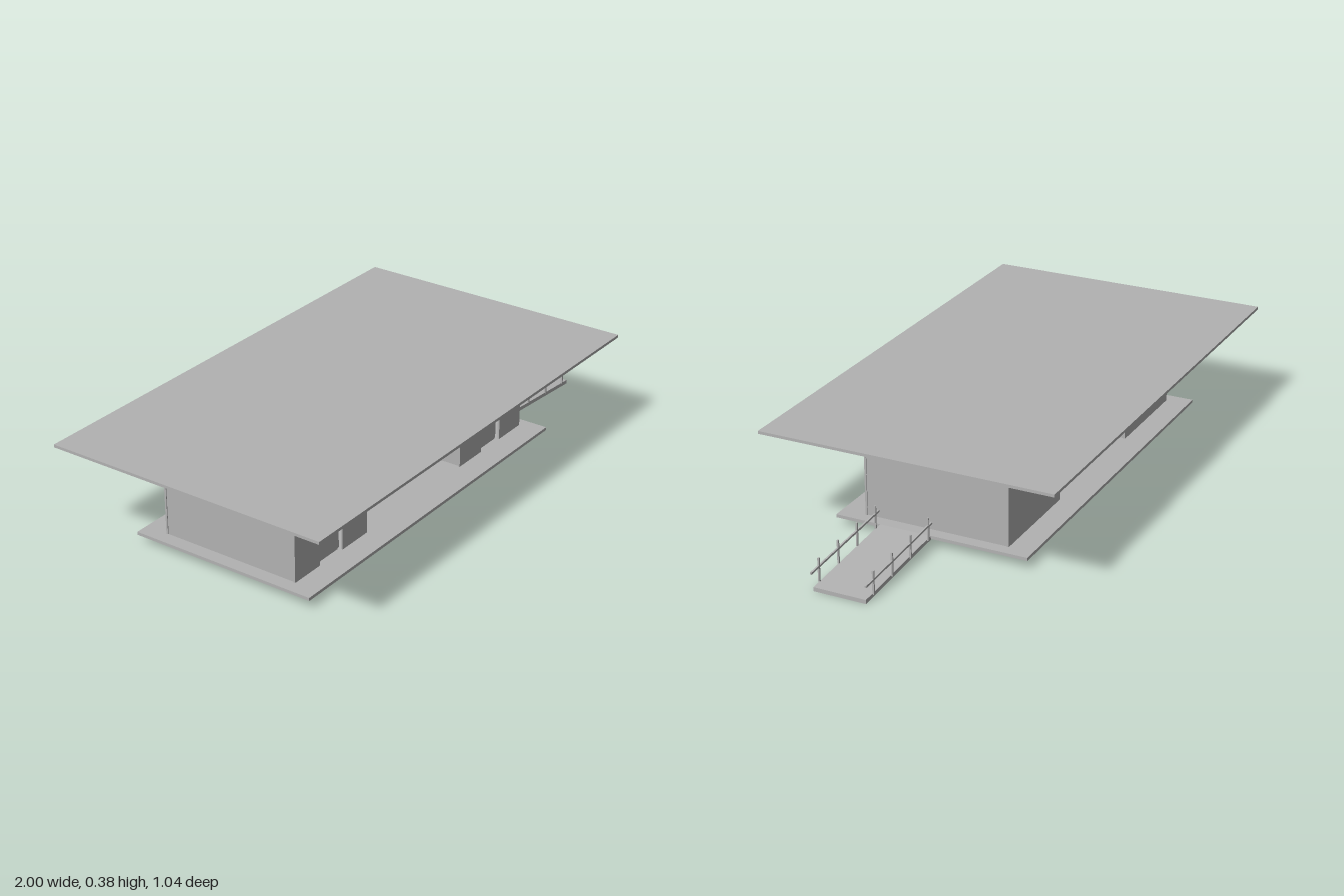
import * as THREE from 'three';

export function createModel() {
  const model = new THREE.Group();
  const grey = new THREE.MeshStandardMaterial({ color: 0xb2b2b2 });
  grey.name = 'pale grey';

  const add = (name, geometry, parent = model) => {
    const mesh = new THREE.Mesh(geometry, grey);
    mesh.name = name;
    parent.add(mesh);
    return mesh;
  };
  // Box given by its lower and upper limits on each axis
  const box = (name, [x0, x1], [y0, y1], [z0, z1], parent) => {
    const mesh = add(name, new THREE.BoxGeometry(x1 - x0, y1 - y0, z1 - z0), parent);
    mesh.position.set((x0 + x1) / 2, (y0 + y1) / 2, (z0 + z1) / 2);
    return mesh;
  };
  const group = (name) => {
    const g = new THREE.Group();
    g.name = name;
    model.add(g);
    return g;
  };

  const floorY = 0.042, wallTop = 0.349, roofY = 0.371;

  // Floor slab and flat roof
  box('platform', [-0.83, 0.57], [0.031, floorY], [-0.345, 0.352]);
  box('roof', [-1, 0.75], [roofY, 0.381], [-0.522, 0.522]);

  // Roof beams: two long ones and six across
  const beams = group('roofBeams');
  box('frontBeam', [-0.89, 0.63], [wallTop, roofY], [0.373, 0.393], beams);
  box('backBeam', [-0.89, 0.63], [wallTop, roofY], [-0.419, -0.399], beams);
  for (let i = 0; i < 6; i++) {
    const x = -0.777 + i * 0.26;
    box('crossBeam', [x - 0.011, x + 0.011], [wallTop, roofY], [-0.399, 0.373], beams);
  }

  // Rooms: side walls set between front and back walls, with a recessed doorway
  const room = (name, x0, x1, d0, d1) => {
    const g = group(name);
    const y = [floorY, wallTop], front = [0.257, 0.264];
    box('backWall', [x0, x1], y, [-0.26, -0.253], g);
    box('sideWall', [x0 + 0.003, x0 + 0.01], y, [-0.253, 0.257], g);
    box('sideWall', [x1 - 0.01, x1 - 0.003], y, [-0.253, 0.257], g);
    box('frontWall', [x0, d0], y, front, g);
    box('frontWall', [d1, x1], y, front, g);
    box('doorSurround', [d0 - 0.005, d1 + 0.005], y, [0.239, 0.245], g);
    return g;
  };
  const leftRoom = room('westRoom', -0.785, -0.4, -0.655, -0.535);
  box('door', [-0.647, -0.543], [floorY, 0.29], [0.245, 0.249], leftRoom);
  const rightRoom = room('eastRoom', 0.145, 0.53, 0.28, 0.396);
  box('doorLeaf', [0.281, 0.335], [floorY, 0.3], [0.245, 0.249], rightRoom);
  box('doorLeaf', [0.335, 0.39], [floorY, 0.29], [0.245, 0.249], rightRoom);

  // Tables with thin legs and two small fittings each
  const table = (x0, x1, legs, fittings) => {
    const g = group('table');
    box('tableTop', [x0, x1], [0.127, 0.135], [-0.07, 0.1], g);
    for (const x of legs) for (const z of [-0.055, 0.085]) {
      box('tableLeg', [x - 0.004, x + 0.004], [floorY, 0.127], [z - 0.004, z + 0.004], g);
    }
    for (const x of fittings) {
      add('fittingBase', new THREE.CylinderGeometry(0.016, 0.021, 0.006, 16), g).position.set(x, 0.138, 0.015);
      add('fittingStem', new THREE.CylinderGeometry(0.003, 0.003, 0.016, 8), g).position.set(x, 0.149, 0.015);
    }
  };
  table(-0.397, -0.21, [-0.38, -0.227], [-0.353, -0.252]);
  table(-0.042, 0.145, [-0.008, 0.127], [-0.008, 0.097]);

  // Sloping ramp
  const side = new THREE.Shape([[0.57, 0.042], [0.57, 0.028], [0.99, 0], [0.99, 0.014]]
    .map(([x, y]) => new THREE.Vector2(x, y)));
  add('ramp', new THREE.ExtrudeGeometry(side, { depth: 0.187, bevelEnabled: false }));

  // Handrails either side, with posts following the slope
  for (const z of [-0.006, 0.188]) {
    const g = group('handrail');
    const a = new THREE.Vector3(0.575, 0.093, z), b = new THREE.Vector3(1, 0.066, z);
    const rail = add('rail', new THREE.BoxGeometry(a.distanceTo(b), 0.007, 0.006), g);
    rail.position.copy(a).lerp(b, 0.5);
    rail.rotation.z = Math.atan2(b.y - a.y, b.x - a.x);
    for (let i = 0; i < 4; i++) {
      const x = 0.598 + i * 0.118, drop = i * 0.0075;
      box('post', [x - 0.003, x + 0.003], [0.039 - drop, 0.121 - drop], [z - 0.003, z + 0.003], g);
    }
  }
  return model;
}
